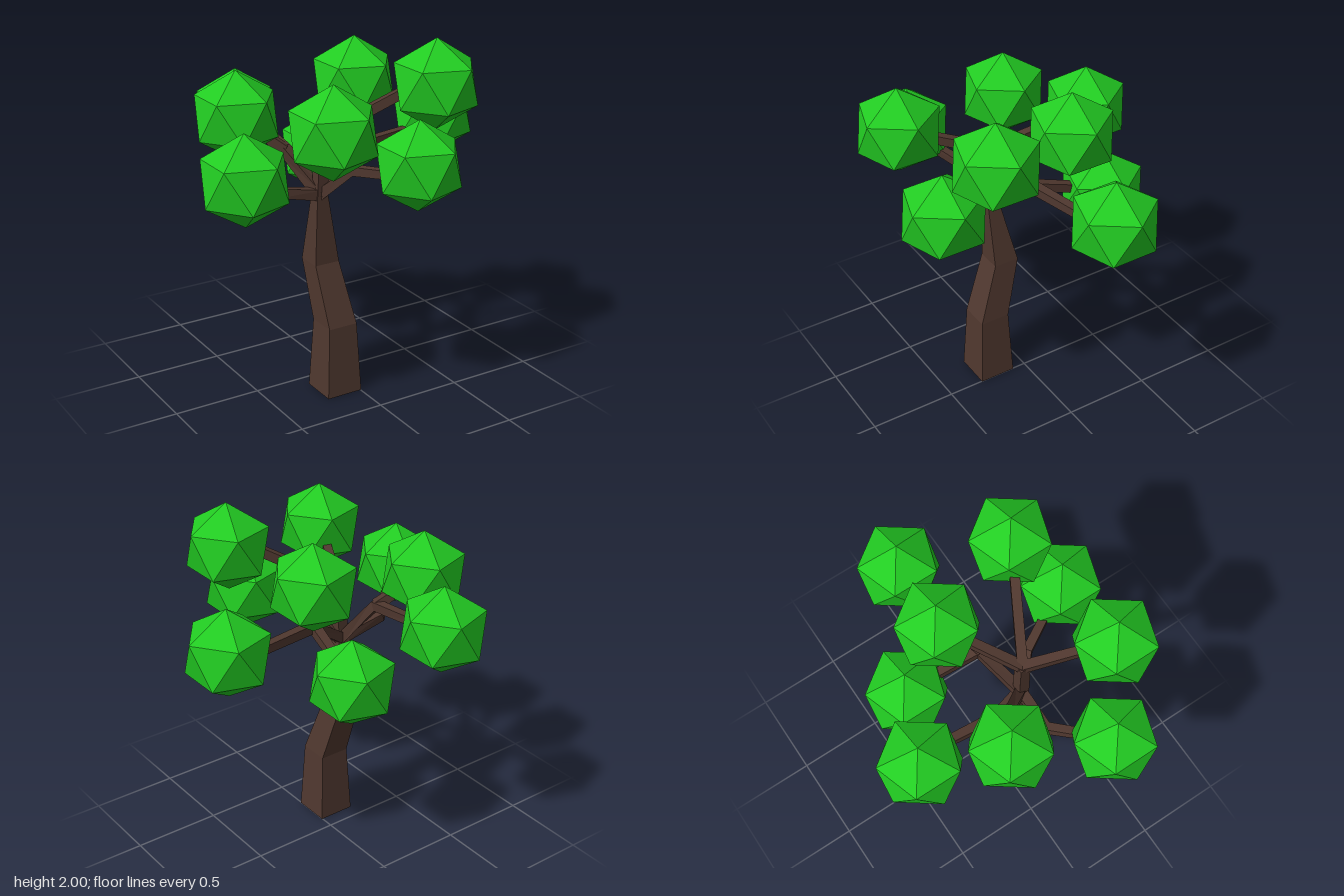
import * as THREE from 'three';

const bark = new THREE.MeshStandardMaterial({ color: 0x50382f });
bark.name = 'bark brown';
const leaf = new THREE.MeshStandardMaterial({ color: 0x22cc22 });
leaf.name = 'leaf green';

// Square-section limb through points [x, y, z, width]; upright limbs keep level rings
function limb(name, points, upright = false) {
  const pts = points.map(p => new THREE.Vector3(p[0], p[1], p[2]));
  const ref = upright ? new THREE.Vector3(0, 0, 1) : new THREE.Vector3(0, 1, 0);
  const rings = pts.map((p, i) => {
    const t = upright
      ? new THREE.Vector3(0, 1, 0)
      : pts[Math.min(i + 1, pts.length - 1)].clone().sub(pts[Math.max(i - 1, 0)]).normalize();
    const u = t.clone().cross(ref).normalize();
    const v = u.clone().cross(t);
    const h = points[i][3] / 2;
    return [[-1, -1], [1, -1], [1, 1], [-1, 1]].map(([a, b]) =>
      p.clone().addScaledVector(u, a * h).addScaledVector(v, b * h));
  });
  const tris = [];
  const quad = (a, b, c, d) => tris.push(a, b, c, a, c, d);
  for (let i = 0; i < rings.length - 1; i++) {
    for (let k = 0; k < 4; k++) {
      const n = (k + 1) % 4;
      quad(rings[i][k], rings[i + 1][k], rings[i + 1][n], rings[i][n]);
    }
  }
  const end = rings[rings.length - 1];
  quad(...rings[0]);
  quad(end[3], end[2], end[1], end[0]);
  const geo = new THREE.BufferGeometry().setFromPoints(tris);
  geo.computeVertexNormals();
  const mesh = new THREE.Mesh(geo, bark);
  mesh.name = name;
  return mesh;
}

export function createModel() {
  const tree = new THREE.Group();
  tree.name = 'tree';

  // Crooked tapering trunk and the stem above its fork
  tree.add(limb('trunk', [
    [-0.103, 0, 0.187, 0.214],
    [-0.103, 0.41, 0.186, 0.174],
    [-0.132, 0.75, 0.08, 0.148],
    [-0.16, 1.15, 0.122, 0.066],
  ], true));
  tree.add(limb('upperStem', [
    [-0.16, 1.13, 0.122, 0.064],
    [-0.15, 1.5, 0.13, 0.06],
  ], true));

  // Branches from the fork, the upper stem and the two side forks
  const fork = [-0.16, 1.15, 0.12, 0.06];
  const top = [-0.15, 1.48, 0.13, 0.055];
  const backFork = [-0.28, 1.38, -0.04, 0.055];
  const leftFork = [0.1, 1.34, 0.02, 0.055];
  const branches = [
    [fork, [-0.43, 1.205, 0.11, 0.052], [-0.69, 1.36, 0.31, 0.045]],
    [fork, [-0.03, 1.3, 0.25, 0.052], [0.14, 1.32, 0.55, 0.045]],
    [fork, backFork, [-0.25, 1.45, -0.56, 0.045]],
    [backFork, [-0.47, 1.54, -0.16, 0.045]],
    [fork, leftFork, [0.68, 1.355, -0.08, 0.045]],
    [leftFork, [0.16, 1.22, -0.38, 0.045]],
    [top, [-0.33, 1.62, 0.53, 0.045]],
    [top, [0.2, 1.64, -0.13, 0.045]],
    [top, [0.34, 1.78, 0.39, 0.05]],
  ];
  branches.forEach((p, i) => tree.add(limb('branch' + (i + 1), p)));

  // Faceted leaf balls, each with one corner straight up
  const ball = new THREE.IcosahedronGeometry(0.25, 0);
  ball.rotateZ(-Math.atan(2 / (1 + Math.sqrt(5))));
  [
    [-0.283, 1.453, -0.592], [0.163, 1.205, -0.4], [-0.495, 1.565, -0.178],
    [0.224, 1.67, -0.148], [0.716, 1.42, -0.083], [-0.714, 1.387, 0.32],
    [-0.344, 1.64, 0.563], [0.158, 1.39, 0.588], [0.382, 1.75, 0.407],
  ].forEach((p, i) => {
    const mesh = new THREE.Mesh(ball, leaf);
    mesh.name = 'leafBall' + (i + 1);
    mesh.position.set(...p);
    tree.add(mesh);
  });
  return tree;
}
